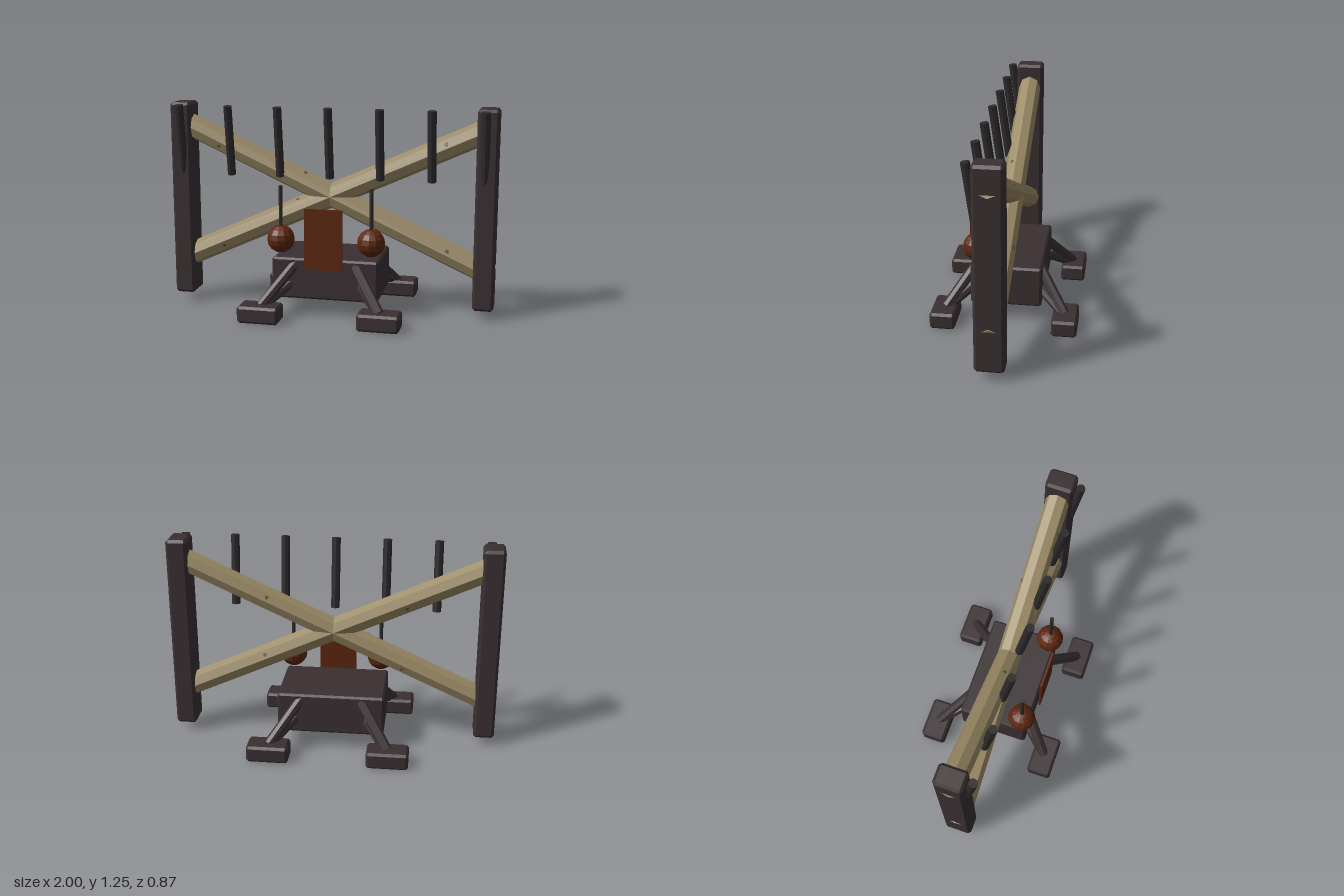
import * as THREE from 'three';
import { ConvexGeometry } from 'three/addons/geometries/ConvexGeometry.js';

const flat = (name, color) => {
  const m = new THREE.MeshStandardMaterial({ color, flatShading: true });
  m.name = name;
  return m;
};

// Box with every edge chamfered by c
function chamferBox(w, h, d, c) {
  const half = [w / 2, h / 2, d / 2];
  const pts = [];
  for (const sx of [-1, 1]) for (const sy of [-1, 1]) for (const sz of [-1, 1]) {
    for (let axis = 0; axis < 3; axis++) {
      const p = half.map((v, i) => (i === axis ? v : v - c));
      pts.push(new THREE.Vector3(p[0] * sx, p[1] * sy, p[2] * sz));
    }
  }
  return new ConvexGeometry(pts);
}

export function createModel() {
  const model = new THREE.Group();
  model.name = 'barricade';
  const darkWood = flat('dark wood', 0x3a3032);
  const iron = flat('iron', 0x2e2a2c);
  const paleWood = flat('pale wood', 0x9a8a65);
  const knotWood = flat('knot wood', 0x5f563f);
  const rust = flat('rust', 0x5c260f);

  const add = (name, geometry, material, x = 0, y = 0, z = 0, parent = model) => {
    const mesh = new THREE.Mesh(geometry, material);
    mesh.name = name;
    mesh.position.set(x, y, z);
    parent.add(mesh);
    return mesh;
  };

  // Cylinder running between two points
  const bar = (name, a, b, r, sides, material) => {
    const from = new THREE.Vector3(...a), to = new THREE.Vector3(...b);
    const dir = to.clone().sub(from);
    const mesh = add(name, new THREE.CylinderGeometry(r, r, dir.length(), sides), material);
    mesh.position.copy(from).add(to).multiplyScalar(0.5);
    mesh.quaternion.setFromUnitVectors(new THREE.Vector3(0, 1, 0), dir.normalize());
    return mesh;
  };

  // Upright end posts
  for (const s of [-1, 1]) {
    add(s > 0 ? 'leftPost' : 'rightPost', chamferBox(0.126, 1.2, 0.17, 0.016), darkWood, s * 0.93, 0.655, 0);
  }

  // Crossed octagonal beams with small knots on their faces
  const beamRadius = 0.071;
  for (const s of [-1, 1]) {
    const beam = bar(s > 0 ? 'risingBeam' : 'fallingBeam',
      [-0.971, 0.705 - s * 0.443, 0], [0.971, 0.705 + s * 0.443, 0], beamRadius, 8, paleWood);
    [-0.75, -0.47, -0.2, 0.22, 0.45, 0.77].forEach((along, i) => {
      const angle = (i * 3 + 0.5) * Math.PI / 4;
      const reach = beamRadius * Math.cos(Math.PI / 8);
      const knot = add('knot', new THREE.CylinderGeometry(0.011, 0.013, 0.004, 6), knotWood,
        Math.sin(angle) * reach, along, Math.cos(angle) * reach, beam);
      knot.quaternion.setFromUnitVectors(new THREE.Vector3(0, 1, 0),
        new THREE.Vector3(Math.sin(angle), 0, Math.cos(angle)));
    });
  }

  // Row of leaning spikes
  for (let i = -3; i <= 3; i++) {
    const x = i * 0.306;
    bar('spike', [x, 0.822, 0.062], [x, 1.245, 0.121], 0.026, 8, iron);
  }

  // Base block
  add('baseBlock', chamferBox(0.645, 0.25, 0.425, 0.012), darkWood, 0, 0.23, 0);

  // Four feet, each held by a pair of struts
  for (const sx of [-1, 1]) for (const sz of [-1, 1]) {
    add('foot', chamferBox(0.25, 0.102, 0.15, 0.014), darkWood, sx * 0.358, 0.051, sz * 0.361);
    bar('upperStrut', [sx * 0.18, 0.32, sz * 0.185], [sx * 0.355, 0.09, sz * 0.355], 0.031, 8, darkWood);
    bar('lowerStrut', [sx * 0.21, 0.2, sz * 0.18], [sx * 0.345, 0.09, sz * 0.345], 0.031, 8, darkWood);
  }

  // Hanging balls on thin rods
  for (const s of [-1, 1]) {
    bar('rod', [s * 0.275, 0.46, 0.176], [s * 0.275, 0.787, 0.176], 0.0115, 8, iron);
    add('ball', new THREE.SphereGeometry(0.084, 12, 8), rust, s * 0.275, 0.464, 0.176);
  }

  // Front plate
  add('frontPlate', new THREE.BoxGeometry(0.23, 0.366, 0.014), rust, 0, 0.483, 0.24);

  return model;
}
